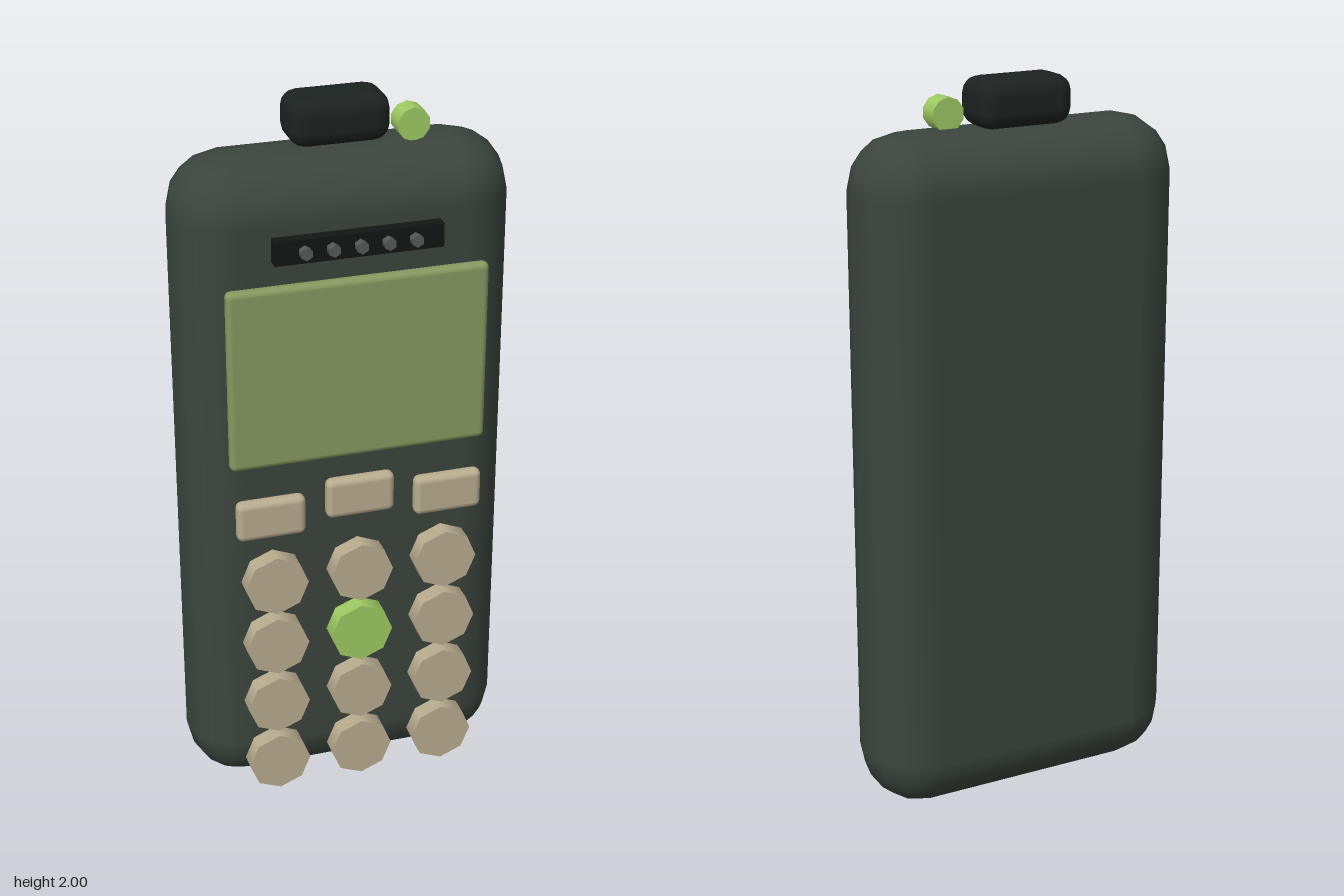
import * as THREE from 'three';
import { RoundedBoxGeometry } from 'three/addons/geometries/RoundedBoxGeometry.js';

const mat = (color) => new THREE.MeshStandardMaterial({ color });

export function createModel() {
  const group = new THREE.Group();
  const casing = mat(0x3b453d), black = mat(0x1c2220), glass = mat(0x87985f);
  const beige = mat(0xb9ac8f), lime = mat(0x9fcb63), slot = mat(0x121614), dot = mat(0x555b5a);

  function add(name, geometry, material, x, y, z) {
    const mesh = new THREE.Mesh(geometry, material);
    mesh.name = name;
    mesh.position.set(x, y, z);
    group.add(mesh);
    return mesh;
  }
  // Cylinder whose axis points to the front
  const disc = (r, depth, sides) => new THREE.CylinderGeometry(r, r, depth, sides).rotateX(Math.PI / 2);

  // Casing with stub antenna and indicator light
  add('body', new RoundedBoxGeometry(0.91, 1.876, 0.325, 2, 0.155), casing, 0, 0.938, -0.0325);
  add('antenna', new RoundedBoxGeometry(0.27, 0.13, 0.155, 2, 0.045), black, 0, 1.935, -0.0575);
  add('indicatorLight', disc(0.045, 0.06, 10), lime, 0.192, 1.91, -0.02);

  // Display
  add('screen', new RoundedBoxGeometry(0.706, 0.51, 0.038, 2, 0.016), glass, 0, 1.315, 0.149);

  // Earpiece with five studs
  add('earpiece', new THREE.BoxGeometry(0.45, 0.065, 0.035), slot, 0, 1.663, 0.1465);
  for (let i = -2; i <= 2; i++) {
    add('earpieceStud', disc(0.017, 0.024, 6), dot, i * 0.0735, 1.663, 0.175);
  }

  // Soft keys, the middle one set higher
  for (let i = -1; i <= 1; i++) {
    add('softKey', new RoundedBoxGeometry(0.19, 0.115, 0.042, 2, 0.018), beige,
      i * 0.248, i === 0 ? 0.943 : 0.912, 0.166);
  }

  // Keypad of octagonal keys with one lit key
  for (let row = 0; row < 4; row++) {
    for (let col = -1; col <= 1; col++) {
      const lit = row === 1 && col === 0;
      add(lit ? 'litKey' : 'key', disc(0.088, 0.05, 8), lit ? lime : beige,
        col * 0.24, 0.71 - row * 0.194, 0.17);
    }
  }
  return group;
}
